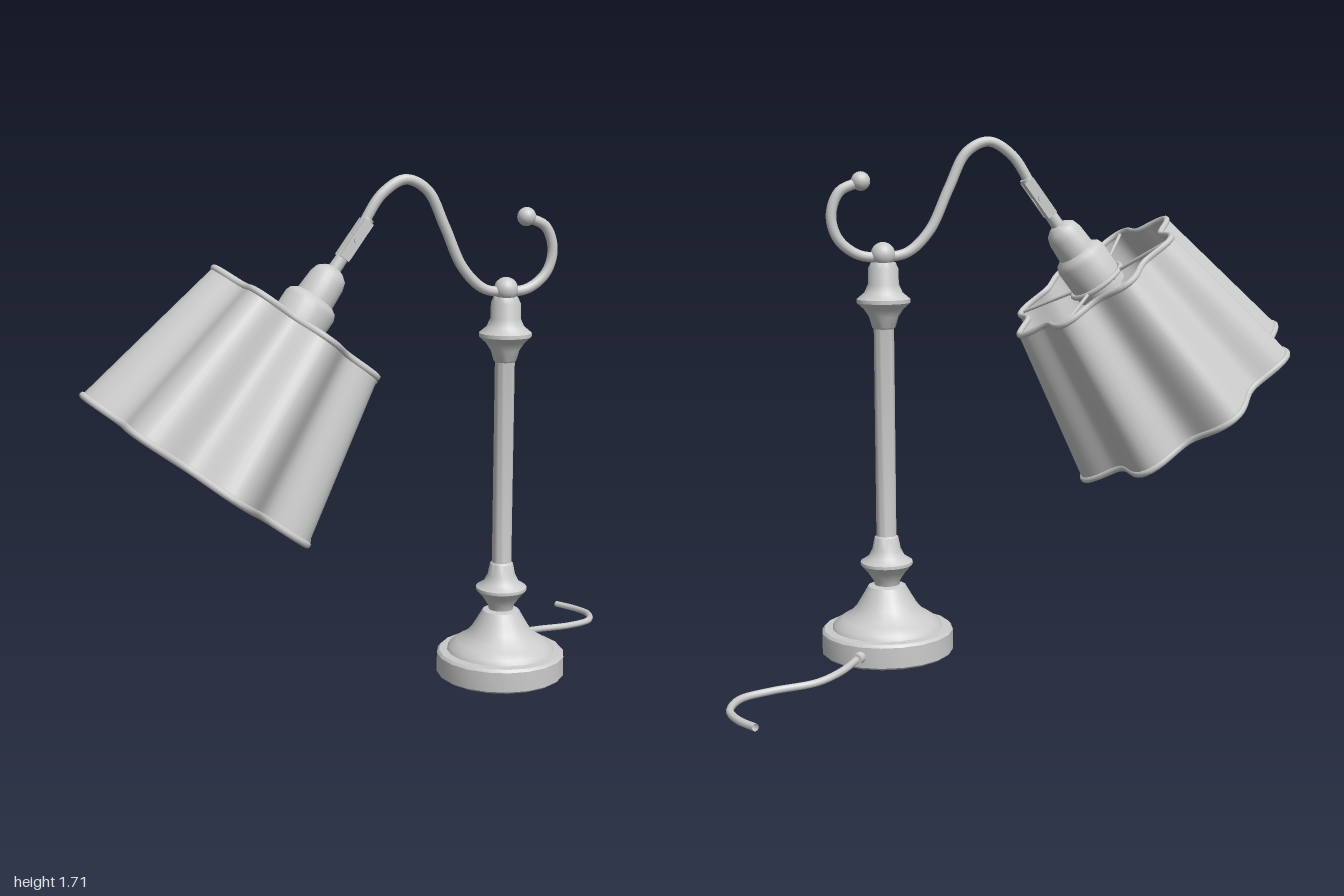
import * as THREE from 'three';
import { mergeVertices, toCreasedNormals } from 'three/addons/utils/BufferGeometryUtils.js';

const grey = new THREE.MeshStandardMaterial({ color: 0xcccccc, side: THREE.DoubleSide });
const AXIS_Z = 0.075;

function add(parent, name, geometry, x = 0, y = 0, z = 0) {
  const mesh = new THREE.Mesh(geometry, grey);
  mesh.name = name;
  mesh.position.set(x, y, z);
  parent.add(mesh);
  return mesh;
}

function lathe(profile, sides) {
  const points = profile.map(([r, y]) => new THREE.Vector2(r, y));
  return toCreasedNormals(new THREE.LatheGeometry(points, sides), 0.7);
}

function tube(points, radius, segments, sides = 10) {
  const curve = new THREE.CatmullRomCurve3(points.map((p) => new THREE.Vector3(...p)));
  return new THREE.TubeGeometry(curve, segments, radius, sides);
}

// A lathe whose radius swells into eight soft lobes
function scalloped(profile) {
  const points = profile.map(([r, y]) => new THREE.Vector2(r, y));
  let geometry = new THREE.LatheGeometry(points, 128);
  const pos = geometry.attributes.position;
  for (let i = 0; i < pos.count; i++) {
    const x = pos.getX(i), z = pos.getZ(i);
    const f = 0.915 + 0.085 * Math.cos(8 * Math.atan2(z, x));
    pos.setX(i, x * f);
    pos.setZ(i, z * f);
  }
  geometry.deleteAttribute('uv');
  geometry.deleteAttribute('normal');
  geometry = mergeVertices(geometry, 1e-5);
  geometry.computeVertexNormals();
  return geometry;
}

function rim(radius, y, thickness) {
  const ring = [];
  for (let i = 0; i <= 8; i++) {
    const a = (i / 8) * Math.PI * 2;
    ring.push([radius + thickness * Math.cos(a), y + thickness * Math.sin(a)]);
  }
  return scalloped(ring);
}

function createStand() {
  const stand = new THREE.Group();
  stand.name = 'stand';
  stand.position.set(0.405, 0, AXIS_Z);

  add(stand, 'base', lathe([
    [0, 0.01], [0.208, 0.01], [0.218, 0.018], [0.218, 0.085], [0.21, 0.094],
    [0.183, 0.096], [0.176, 0.11], [0.15, 0.128], [0.122, 0.145], [0.1, 0.17],
    [0.082, 0.2], [0.062, 0.235], [0.04, 0.24], [0, 0.24],
  ], 20));

  add(stand, 'post', lathe([
    [0.04, 0.235], [0.045, 0.255], [0.065, 0.285], [0.086, 0.308], [0.086, 0.318],
    [0.06, 0.335], [0.047, 0.36], [0.039, 0.4], [0.033, 0.405], [0.033, 1.09],
    [0.038, 1.095], [0.048, 1.13], [0.065, 1.155], [0.087, 1.175], [0.087, 1.187],
    [0.062, 1.208], [0.05, 1.235], [0.049, 1.285], [0.04, 1.305], [0, 1.305],
  ], 24));

  add(stand, 'postBall', new THREE.SphereGeometry(0.04, 20, 14), 0, 1.33, 0);
  return stand;
}

function createArm() {
  const arm = new THREE.Group();
  arm.name = 'arm';
  arm.position.z = AXIS_Z;
  add(arm, 'curvedArm', tube([
    [-0.095, 1.55, 0], [-0.03, 1.645, 0], [0.05, 1.69, 0], [0.125, 1.655, 0],
    [0.185, 1.54, 0], [0.25, 1.405, 0], [0.325, 1.335, 0], [0.405, 1.322, 0],
    [0.485, 1.33, 0], [0.55, 1.38, 0], [0.572, 1.455, 0], [0.545, 1.53, 0], [0.475, 1.563, 0],
  ], 0.017, 90));
  add(arm, 'hookBall', new THREE.SphereGeometry(0.031, 18, 12), 0.475, 1.564, 0);
  return arm;
}

// Shade, socket and joint share one tilted axis
function createHead() {
  const head = new THREE.Group();
  head.name = 'head';
  head.position.set(-0.315, 1.245, AXIS_Z);
  head.rotation.z = -0.636;

  add(head, 'shade', scalloped([
    [0.437, -0.545], [0.323, 0], [0.313, 0], [0.427, -0.545], [0.437, -0.545],
  ]));
  add(head, 'shadeTopRim', rim(0.32, -0.002, 0.011));
  add(head, 'shadeBottomRim', rim(0.434, -0.543, 0.011));

  add(head, 'socket', lathe([
    [0, -0.26], [0.062, -0.26], [0.066, -0.25], [0.066, -0.06], [0.088, -0.055],
    [0.09, 0.075], [0.083, 0.092], [0.064, 0.105], [0.06, 0.17], [0.052, 0.195],
    [0.034, 0.21], [0.024, 0.215], [0, 0.215],
  ], 24));

  // Threaded collar rings
  for (let i = 0; i < 5; i++) {
    const ring = add(head, 'collarRing', new THREE.TorusGeometry(0.07, 0.01, 8, 28), 0, -0.09 - i * 0.036, 0);
    ring.rotation.x = Math.PI / 2;
  }
  const carrier = add(head, 'shadeCarrierRing', new THREE.TorusGeometry(0.094, 0.009, 8, 32), 0, -0.02, 0);
  carrier.rotation.x = Math.PI / 2;

  // Wires carrying the shade
  for (let i = 0; i < 4; i++) {
    const a = Math.PI / 4 + (i * Math.PI) / 2;
    const c = Math.cos(a), s = Math.sin(a);
    add(head, 'shadeWire', tube([[0.09 * c, -0.02, 0.09 * s], [0.318 * c, -0.004, 0.318 * s]], 0.006, 1, 8));
  }

  // Forked tilting joint
  add(head, 'jointStem', new THREE.CylinderGeometry(0.018, 0.022, 0.15, 14), 0, 0.275, 0);
  for (const side of [-1, 1]) {
    add(head, 'jointPlate', new THREE.BoxGeometry(0.036, 0.14, 0.01), 0, 0.325, side * 0.021);
  }
  const pin = add(head, 'jointPin', new THREE.CylinderGeometry(0.011, 0.011, 0.064, 12), 0, 0.325, 0);
  pin.rotation.x = Math.PI / 2;
  add(head, 'jointCollar', new THREE.CylinderGeometry(0.02, 0.02, 0.07, 14), 0, 0.37, 0);
  return head;
}

function createCord() {
  const cord = new THREE.Group();
  cord.name = 'powerCord';
  add(cord, 'cable', tube([
    [0.52, -0.07, 0.055], [0.56, -0.13, 0.05], [0.62, -0.195, 0.041], [0.7, -0.235, 0.029],
    [0.84, -0.25, 0.022], [0.94, -0.285, 0.019], [0.984, -0.37, 0.015],
    [0.97, -0.45, 0.013], [0.93, -0.525, 0.013],
  ].map(([x, z, y]) => [x, y, z]), 0.012, 60, 8));
  const grommet = add(cord, 'cordGrommet', new THREE.CylinderGeometry(0.018, 0.02, 0.05, 14), 0.535, 0.053, -0.1);
  grommet.quaternion.setFromUnitVectors(
    new THREE.Vector3(0, 1, 0), new THREE.Vector3(0.6, 0, -0.8));
  return cord;
}

export function createModel() {
  const lamp = new THREE.Group();
  lamp.name = 'deskLamp';
  lamp.add(createStand(), createArm(), createHead(), createCord());
  return lamp;
}
